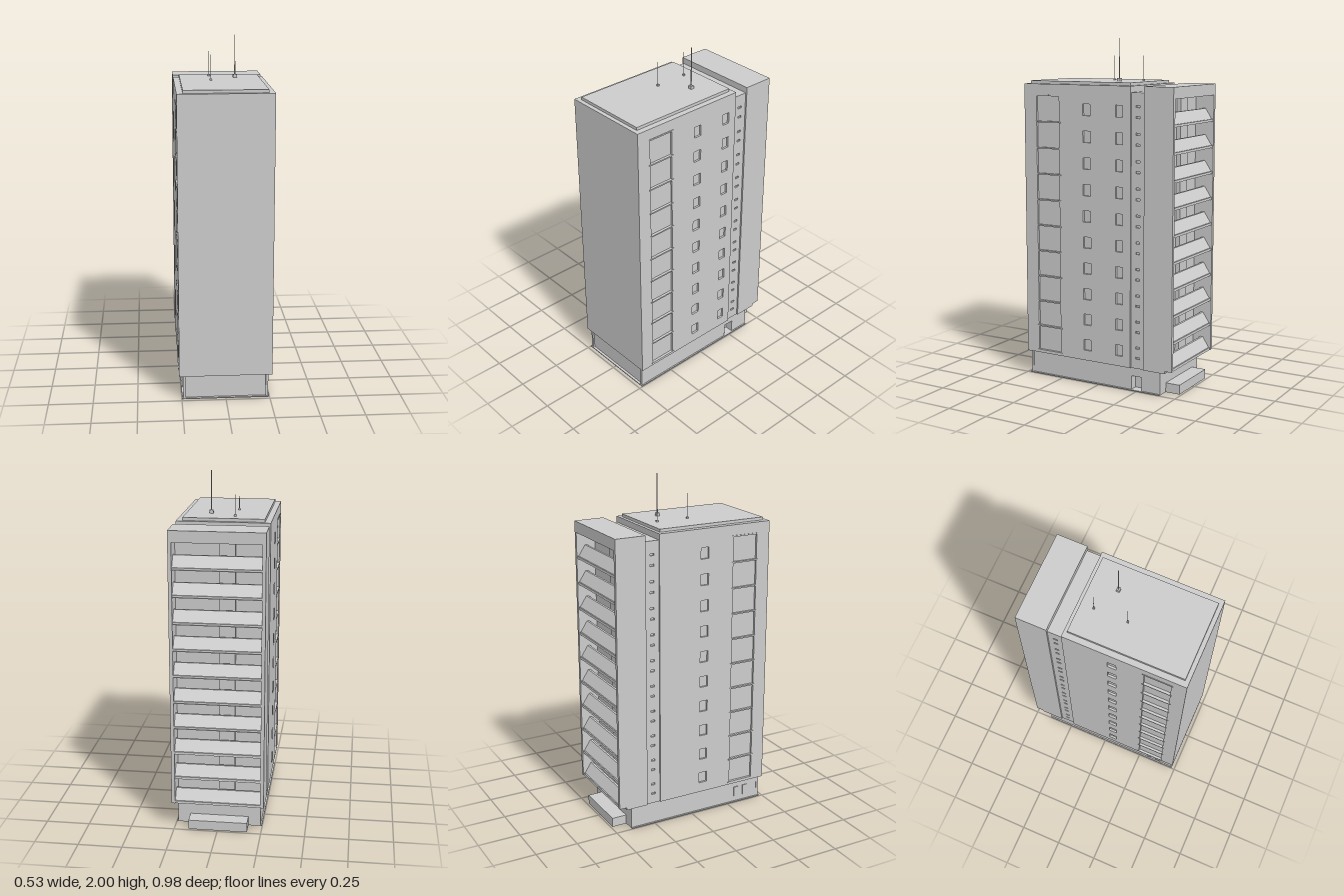
import * as THREE from 'three';

const FLOORS = 10, PITCH = 0.152, Y0 = 0.155;

export function createModel() {
  const root = new THREE.Group();
  root.name = 'towerBlock';
  const mat = new THREE.MeshStandardMaterial({ color: 0xcccccc, flatShading: true });

  const add = (name, geo, parent = root) => {
    const m = new THREE.Mesh(geo, mat);
    m.name = name;
    parent.add(m);
    return m;
  };
  // Box given by its limits on each axis
  const box = (name, x0, x1, y0, y1, z0, z1, parent) => {
    const m = add(name, new THREE.BoxGeometry(x1 - x0, y1 - y0, z1 - z0), parent);
    m.position.set((x0 + x1) / 2, (y0 + y1) / 2, (z0 + z1) / 2);
    return m;
  };
  const rect = (a0, a1, b0, b1, C = THREE.Path) => {
    const p = new C();
    p.moveTo(a0, b0).lineTo(a1, b0).lineTo(a1, b1).lineTo(a0, b1).closePath();
    return p;
  };
  // Side wall in the z-y plane with recessed openings [z0, z1, y0, y1]
  const sideWall = (name, side, x, depth, z0, z1, y0, y1, holes) => {
    const s = rect(z0, z1, y0, y1, THREE.Shape);
    holes.forEach(h => s.holes.push(rect(...h)));
    const m = add(name, new THREE.ExtrudeGeometry(s, { depth, bevelEnabled: false }));
    m.rotation.y = -Math.PI / 2;
    m.position.x = side > 0 ? x : -x + depth;
  };
  const floors = Array.from({ length: FLOORS }, (_, i) => Y0 + i * PITCH);

  // Main block: solid core with thin outer walls that hold the windows
  const D = 0.012;
  box('mainCore', -0.264 + D, 0.264 - D, 0.14, 1.74, -0.22, 0.487);
  box('roofSlab', -0.23, 0.23, 1.74, 1.757, -0.2, 0.463);
  for (const side of [1, -1]) {
    const holes = [[0.25, 0.404, 0.153, 1.675]];
    floors.forEach(y => {
      holes.push([0.04, 0.09, y + 0.045, y + 0.11]);
      if (side > 0) holes.push([-0.17, -0.125, y + 0.045, y + 0.11]);
    });
    sideWall('mainSideWall', side, 0.264, D, -0.22, 0.487, 0.14, 1.74, holes);
    // Ledges across the tall window strip
    for (let i = 0; i <= FLOORS; i++) {
      const y = Y0 + i * PITCH, xs = [side * 0.25, side * 0.267].sort((a, b) => a - b);
      box('windowLedge', xs[0], xs[1], y - 0.004, y + 0.004, 0.24, 0.412);
    }
  }

  // Set-back link between the two blocks, with slit windows
  box('linkCore', -0.247, 0.247, 0.14, 1.705, -0.306, -0.22);
  for (const side of [1, -1]) {
    const slits = floors.flatMap(y => [
      [-0.275, -0.25, y + 0.04, y + 0.052], [-0.275, -0.25, y + 0.1, y + 0.112]]);
    sideWall('linkWall', side, 0.255, 0.008, -0.306, -0.22, 0.14, 1.705, slits);
  }

  // Rear block: inner wall, side fins, roof and base
  const back = -0.485, wallZ = -0.37;
  box('rearInnerWall', -0.264, 0.264, 0.14, 1.74, wallZ, -0.305);
  box('rearRoof', -0.264, 0.264, 1.675, 1.74, back, wallZ);
  box('rearUnderside', -0.264, 0.264, 0.14, Y0, -0.44, wallZ);
  for (const side of [1, -1]) {
    const f = box('rearSideFin', -0.01, 0.01, Y0, 1.675, back, wallZ);
    f.position.x = side * 0.254;
  }

  // Balconies: floor slab, parapet leaning inwards and a wall bay
  const parapet = new THREE.Shape();
  parapet.moveTo(back + 0.003, 0).lineTo(-0.465, 0).lineTo(-0.42, 0.075)
    .lineTo(-0.433, 0.075).closePath();
  const parapetGeo = new THREE.ExtrudeGeometry(parapet, { depth: 0.49, bevelEnabled: false });
  floors.forEach(y => {
    const g = new THREE.Group();
    g.name = 'balcony';
    g.position.y = y;
    root.add(g);
    box('balconyFloor', -0.245, 0.245, 0, 0.014, back + 0.005, wallZ, g);
    box('balconyBay', -0.09, 0, 0, PITCH, wallZ - 0.025, wallZ, g);
    const p = add('parapet', parapetGeo, g);
    p.rotation.y = -Math.PI / 2;
    p.position.x = 0.245;
  });

  // Ground storey: footprint with a doorway notch and an open pit below
  const flat = (name, shape, y, depth) => {
    shape.holes.push(rect(-0.17, -0.01, 0.07, 0.32));
    const m = add(name, new THREE.ExtrudeGeometry(shape, { depth, bevelEnabled: false }));
    m.rotation.x = -Math.PI / 2;
    m.position.y = y;
  };
  const foot = new THREE.Shape();
  [[-0.24, -0.465], [0.24, -0.465], [0.24, 0.215], [0.19, 0.215], [0.19, 0.28],
    [0.24, 0.28], [0.24, 0.4], [-0.24, 0.4]].forEach(([x, y], i) =>
    i ? foot.lineTo(x, y) : foot.moveTo(x, y));
  flat('groundStorey', foot, 0.005, 0.135);
  flat('floorPlate', rect(-0.248, 0.248, -0.48, 0.4, THREE.Shape), 0, 0.006);
  box('doorLintel', 0.19, 0.24, 0.087, 0.14, -0.28, -0.215);
  for (const x of [-0.235, 0.235]) box('cornerPost', x - 0.007, x + 0.007, 0.005, 0.14, 0.46, 0.474);
  for (const z of [0.3, 0.36]) box('groundWindow', -0.245, -0.235, 0.04, 0.1, z, z + 0.03);
  box('rearStep', -0.17, 0.168, 0, 0.055, -0.488, -0.4);

  // Roof masts
  [[-0.057, -0.125, 0.006, 1.9], [-0.057, 0.068, 0.006, 1.9], [0.088, -0.047, 0.011, 2]]
    .forEach(([x, z, r, top]) => {
      const foot = 1.757 + r * 1.6;
      box('mastFoot', x - r, x + r, 1.755, foot, z - r * 0.9, z + r * 0.9);
      const mast = add('mast', new THREE.CylinderGeometry(r * 0.2, r * 0.32, top - foot, 6));
      mast.position.set(x, (top + foot) / 2, z);
    });

  return root;
}
